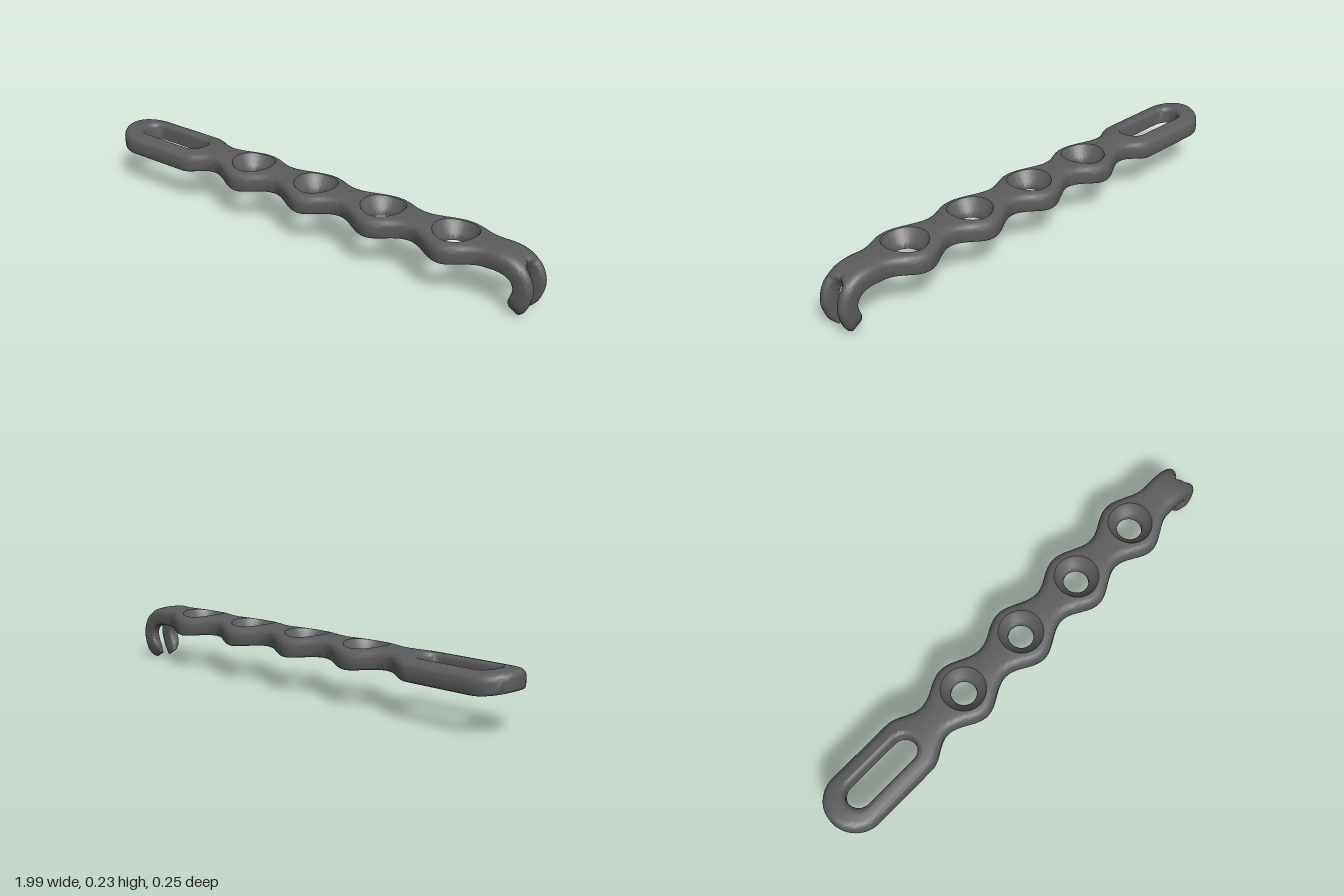
import * as THREE from 'three';
import { toCreasedNormals } from 'three/addons/utils/BufferGeometryUtils.js';

const PITCH = 0.318, FIRST = -0.307, NECK = 0.07, MID = 0.2075;
const START = FIRST - PITCH / 2, END = FIRST + 3.5 * PITCH;   // ends of the holed run
const ROUND_X = -0.88, SLOT_W = 0.12;                         // rounded slot end
const EASE = Array.from({ length: 9 }, (_, j) => (1 - Math.cos(Math.PI * j / 8)) / 2);

// Half width of the plate along x
function halfWidth(x) {
  if (x >= START) return 0.098 + 0.028 * Math.cos(2 * Math.PI * (x - FIRST) / PITCH);
  const t = Math.min(1, (START - x) / 0.135);
  return NECK + (SLOT_W - NECK) * (1 - Math.cos(Math.PI * t)) / 2;
}

// Distance from a point to the plate outline
function edgeDistance(x, z) {
  if (x < ROUND_X) return SLOT_W - Math.hypot(x - ROUND_X, z);
  const slope = (halfWidth(x + 0.001) - halfWidth(x - 0.001)) / 0.002;
  return (halfWidth(x) - Math.abs(z)) / Math.hypot(1, slope);
}

function fillet(d, r) {
  const e = Math.min(1, Math.max(0, 1 - d / r));
  return r * (1 - Math.sqrt(1 - e * e));
}

// Bowed upper and lower faces, relative to the mid height
const upper = (z, d, r = 0.025) => 0.0355 - 1.2 * z * z - fillet(d, r);
const lower = (z, d, r = 0.012) => -0.0355 - 1.2 * z * z + fillet(d, r);

// Join closed profiles into a skin; skip(i, j) leaves a quad out
function skin(profiles, closed, flip, skip) {
  const out = [], n = profiles[0].length;
  const count = closed ? profiles.length : profiles.length - 1;
  for (let i = 0; i < count; i++) {
    const p = profiles[i], q = profiles[(i + 1) % profiles.length];
    for (let j = 0; j < n; j++) {
      if (skip(i, j)) continue;
      const k = (j + 1) % n;
      const quad = [p[j], q[j], q[k], p[j], q[k], p[k]];
      if (flip) quad.reverse();
      for (const v of quad) out.push(...v);
    }
  }
  const g = new THREE.BufferGeometry();
  g.setAttribute('position', new THREE.Float32BufferAttribute(out, 3));
  return toCreasedNormals(g, 0.8);
}

// One pierced plate section: rays run from a hole around the spine xa..xb to the outline
function piercedSection(outline, isOpen, xa, xb, holeR, sinkR, drop) {
  const profiles = outline.map(([x, z]) => {
    const sx = Math.min(xb, Math.max(xa, x));
    const L = Math.hypot(x - sx, z), dx = (x - sx) / L, dz = z / L;
    const radii = [0, 0.1, 0.25, 0.45, 0.7, 0.9, 1].map(q => holeR + q * (sinkR - holeR));
    for (const f of [0.25, 0.5, 0.75]) radii.push(sinkR + f * (L - 0.025 - sinkR));
    for (const e of [0.025, 0.017, 0.01, 0.005, 0.0015, 0]) radii.push(L - e);
    const top = [], bottom = [];
    for (const r of radii) {
      const px = sx + dx * r, pz = dz * r, d = Math.max(0, edgeDistance(px, pz));
      const q = Math.min(1, (r - holeR) / (sinkR - holeR));
      top.push([px, MID + upper(pz, d) - drop(q), pz]);
      bottom.unshift([px, MID + lower(pz, d), pz]);
    }
    return [...top, ...bottom];
  });
  const wall = profiles[0].length / 2 - 1;
  return skin(profiles, true, false, (i, j) =>
    j === wall && isOpen(outline[i], outline[(i + 1) % outline.length]));
}

// Points across a neck, from -z to +z
const neckZ = [...EASE.slice(1).reverse().map(f => -f * NECK), ...EASE.map(f => f * NECK)];

function holeSection(cx) {
  const h = PITCH / 2, N = 28, pts = neckZ.map(z => [cx + h, z]);
  for (let i = 1; i < N; i++) {
    const x = cx + h - PITCH * i / N;
    pts.push([x, halfWidth(x)]);
  }
  const other = neckZ.map(z => [cx - h, -z]);
  const back = pts.slice(neckZ.length).reverse().map(([x, z]) => [x, -z]);
  pts.push(...other, ...back);
  const onEnd = (a, b, x) => Math.abs(a[0] - x) < 1e-6 && Math.abs(b[0] - x) < 1e-6;
  return piercedSection(pts, (a, b) => onEnd(a, b, cx + h) || onEnd(a, b, cx - h),
    cx, cx, 0.05, 0.088, q => 0.05 * Math.pow(1 - q, 0.85));
}

function slotSection() {
  const side = [], N = 40, A = 14;
  for (let i = 1; i <= N; i++) {
    const x = START + (ROUND_X - START) * i / N;
    side.push([x, halfWidth(x)]);
  }
  for (let i = 1; i < A; i++) {
    const a = Math.PI / 2 * (1 + i / A);
    side.push([ROUND_X + SLOT_W * Math.cos(a), SLOT_W * Math.sin(a)]);
  }
  const pts = [...neckZ.map(z => [START, z]), ...side, [ROUND_X - SLOT_W, 0],
    ...side.slice().reverse().map(([x, z]) => [x, -z])];
  return piercedSection(pts, (a, b) => a[0] === START && b[0] === START,
    -0.858, -0.627, 0.052, 0.072, q => fillet(q * 0.02, 0.02));
}

// Forked hook: half of the section swept along the bend, side = +1 or -1
function hookHalf(side) {
  const path = new THREE.CatmullRomCurve3([
    [END, MID], [0.86, MID], [0.91, 0.195], [0.945, 0.165], [0.96, 0.12], [0.95, 0.075], [0.92, 0.022],
  ].map(([x, y]) => new THREE.Vector3(x, y, 0)));
  const L = path.getLength(), FORK = 0.4, steps = 60;
  const gaps = [], profiles = [];
  for (let i = 0; i <= steps + 1; i++) {
    const u = Math.min(1, i / steps);
    const p = path.getPointAt(u), t = path.getTangentAt(u);
    const k = Math.min(1, Math.max(0, (u - FORK) / 0.1));
    const zi = 0.028 * Math.sqrt(1 - (1 - k) ** 2);
    const taper = Math.max(0, (u - 0.8) / 0.2);
    const w = 0.028 + 0.042 * Math.sqrt(1 - 0.95 * taper * taper);
    const thick = i > steps ? 0 : 1 - 0.35 * Math.max(0, (u - 0.85) / 0.15) ** 2;
    const r = Math.min(0.025, (w - zi) / 2), top = [], bottom = [];
    for (const f of EASE) {
      const z = zi + (w - zi) * f;
      const dIn = u < FORK ? Math.hypot((FORK - u) * L, z) : z - zi;
      const d = Math.max(0, Math.min(w - z, dIn));
      const at = h => [p.x - t.y * h * thick, p.y + t.x * h * thick, side * z];
      top.push(at(upper(z, d, r)));
      bottom.unshift(at(lower(z, d, Math.min(0.012, r))));
    }
    gaps.push(zi);
    profiles.push([...top, ...bottom]);
  }
  const last = profiles[0].length - 1;
  return skin(profiles, false, side > 0, (i, j) => j === last && gaps[i] < 1e-6 && gaps[i + 1] < 1e-6);
}

export function createModel() {
  const group = new THREE.Group();
  group.name = 'hookedPlate';
  const metal = new THREE.MeshStandardMaterial({ color: 0x5c5c5e });
  metal.name = 'darkGreyMetal';
  const add = (name, geometry) => {
    const mesh = new THREE.Mesh(geometry, metal);
    mesh.name = name;
    group.add(mesh);
  };
  add('slottedEnd', slotSection());
  for (let i = 0; i < 4; i++) add('screwHoleSection' + (i + 1), holeSection(FIRST + i * PITCH));
  add('leftHookProng', hookHalf(1));
  add('rightHookProng', hookHalf(-1));
  return group;
}
